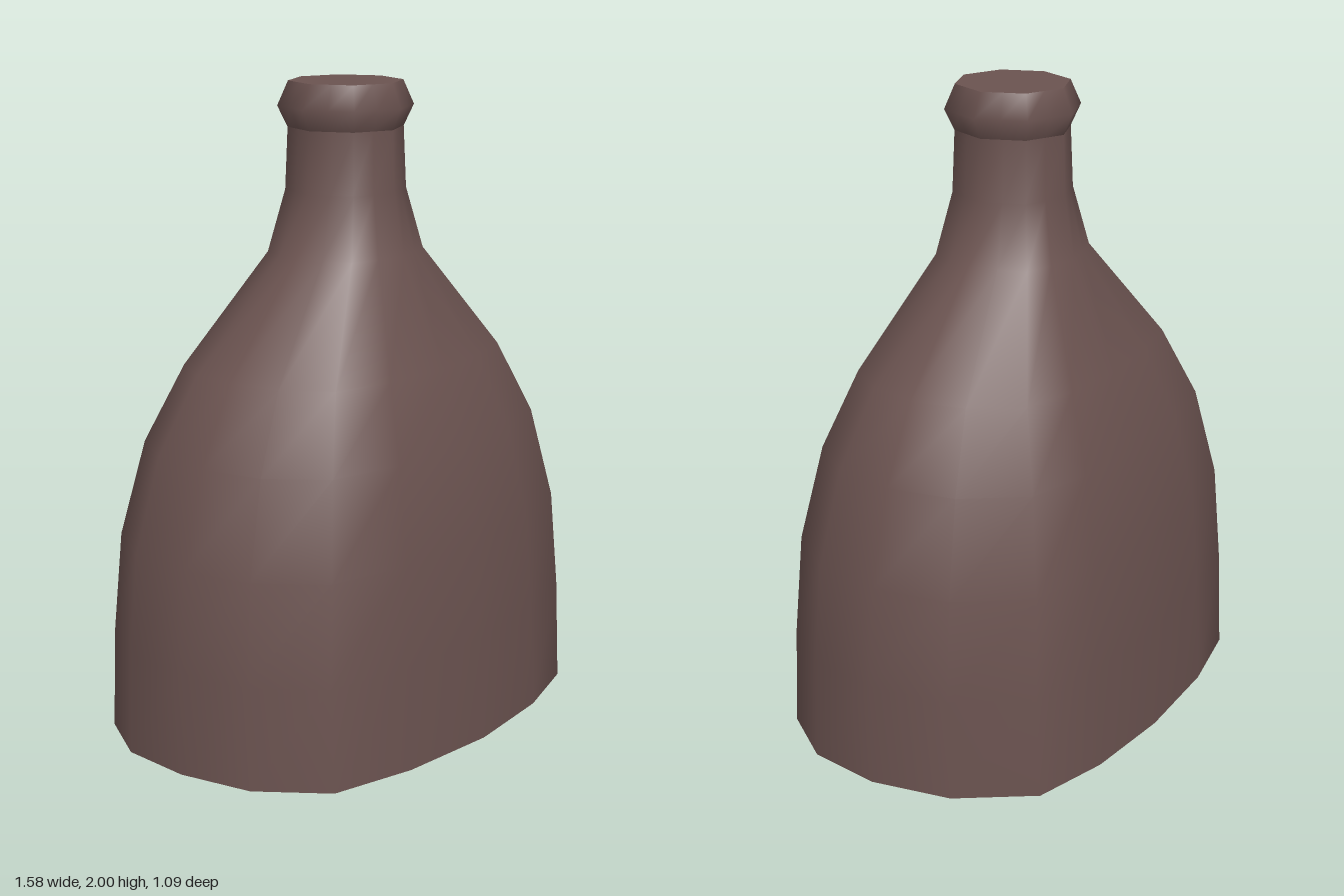
import * as THREE from 'three';

// Slightly irregular 16-point outline of the base, running from +x towards +z
const BASE = [
  [0.785, -0.01], [0.745, 0.23], [0.6, 0.425], [0.33, 0.505],
  [0, 0.54], [-0.34, 0.51], [-0.615, 0.435], [-0.755, 0.23],
  [-0.79, -0.01], [-0.76, -0.245], [-0.63, -0.44], [-0.35, -0.51],
  [0, -0.545], [0.32, -0.535], [0.575, -0.48], [0.735, -0.265],
].map(([x, z]) => [x / 0.787, z / 0.542]);

// Octagon for the neck; odd points lie midway along its sides
const corner = (k) => [Math.cos(k * Math.PI / 4), Math.sin(k * Math.PI / 4)];
const NECK = BASE.map((_, i) => {
  const a = corner(Math.floor(i / 2)), b = corner(Math.ceil(i / 2));
  return [(a[0] + b[0]) / 2, (a[1] + b[1]) / 2];
});
const N = BASE.length;

// Rings: height, half width, half depth, blend from octagon (0) to base outline (1)
const BODY = [
  [0, 0.787, 0.542, 1], [0.32, 0.787, 0.525, 1], [0.63, 0.757, 0.507, 1],
  [0.92, 0.675, 0.45, 1], [1.15, 0.55, 0.37, 0.85], [1.48, 0.247, 0.222, 0.3],
  [1.67, 0.187, 0.187, 0], [1.86, 0.177, 0.18, 0],
];
const LIP = [[1.86, 0.177, 0.18, 0], [1.925, 0.21, 0.21, 0], [2, 0.175, 0.178, 0]];

function ringPoints([y, rx, rz, w]) {
  const dz = -0.006 * (1 - w);
  return BASE.map(([bx, bz], i) => [
    rx * THREE.MathUtils.lerp(NECK[i][0], bx, w), y,
    rz * THREE.MathUtils.lerp(NECK[i][1], bz, w) + dz,
  ]);
}

function geometryFrom(points, index) {
  const g = new THREE.BufferGeometry();
  g.setAttribute('position', new THREE.Float32BufferAttribute(points.flat(), 3));
  g.setIndex(index);
  g.computeVertexNormals();
  return g;
}

// Smooth skin through a stack of rings
function loft(rings) {
  const index = [];
  for (let r = 0; r < rings.length - 1; r++) {
    for (let i = 0; i < N; i++) {
      const a = r * N + i, b = r * N + (i + 1) % N;
      index.push(a, a + N, b, b, a + N, b + N);
    }
  }
  return geometryFrom(rings.flatMap(ringPoints), index);
}

// Flat end closing one ring
function cap(ring, up) {
  const index = [];
  for (let i = 0; i < N; i++) {
    const j = (i + 1) % N;
    index.push(N, up ? j : i, up ? i : j);
  }
  return geometryFrom([...ringPoints(ring), [0, ring[0], 0]], index);
}

export function createModel() {
  const group = new THREE.Group();
  group.name = 'bottle';
  const material = new THREE.MeshStandardMaterial({ color: 0x6b5350 });
  const add = (name, geometry) => {
    const mesh = new THREE.Mesh(geometry, material);
    mesh.name = name;
    group.add(mesh);
  };
  add('body', loft(BODY));
  add('base', cap(BODY[0], false));
  add('lip', loft(LIP));
  add('mouth', cap(LIP[2], true));
  return group;
}
